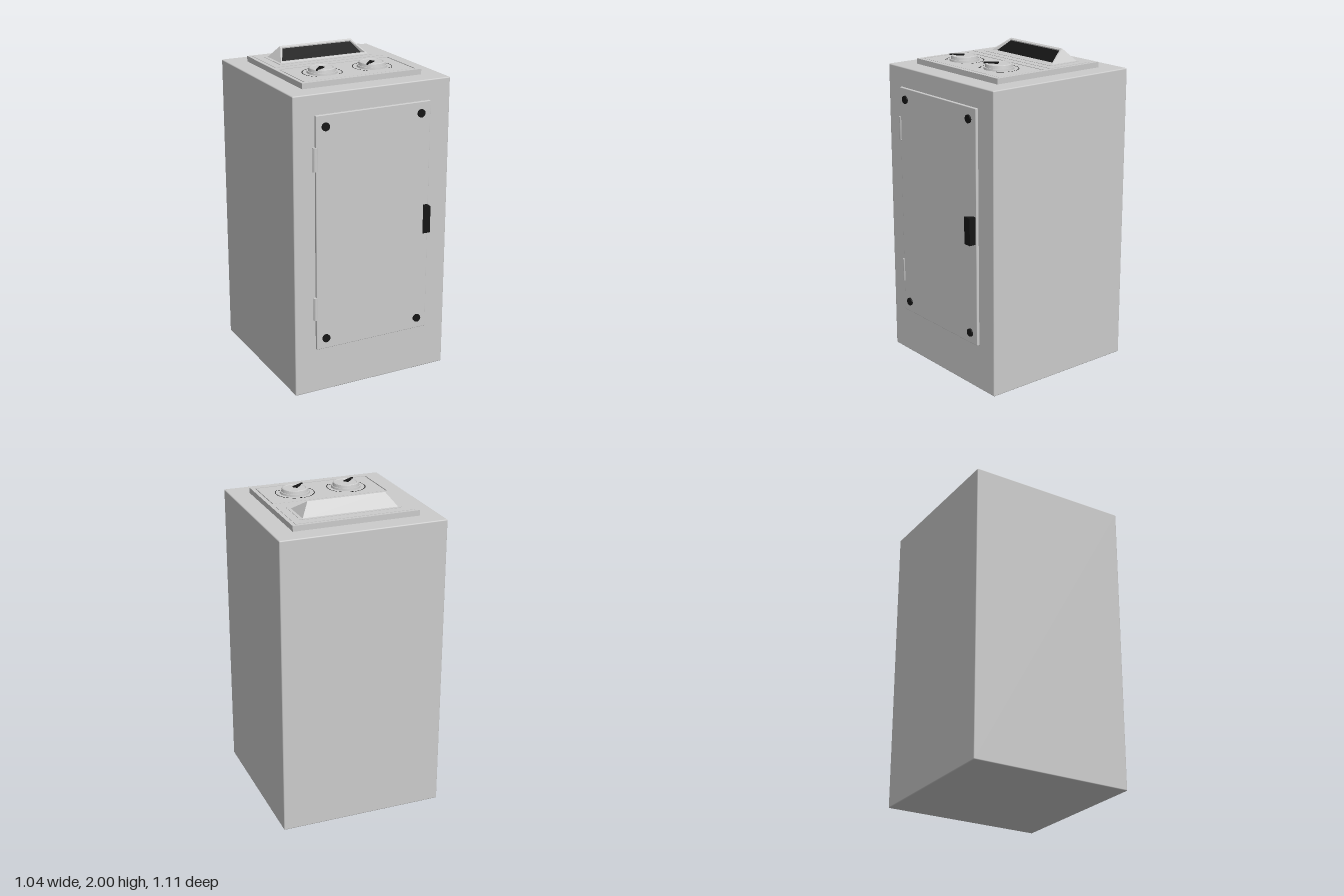
import * as THREE from 'three';
import { RoundedBoxGeometry } from 'three/addons/geometries/RoundedBoxGeometry.js';

const grey = new THREE.MeshStandardMaterial({ color: 0xcccccc });
const black = new THREE.MeshStandardMaterial({ color: 0x151515 });

export function createModel() {
  const root = new THREE.Group();

  const add = (name, geo, mat = grey, x = 0, y = 0, z = 0, parent = root) => {
    const mesh = new THREE.Mesh(geo, mat);
    mesh.name = name;
    mesh.position.set(x, y, z);
    parent.add(mesh);
    return mesh;
  };
  // Box given by its limits, with softly rounded edges
  const block = (name, [x0, x1], [y0, y1], [z0, z1], r, mat = grey) =>
    add(name, new RoundedBoxGeometry(x1 - x0, y1 - y0, z1 - z0, 2, r), mat,
      (x0 + x1) / 2, (y0 + y1) / 2, (z0 + z1) / 2);
  // Plan outlines are given as [x, z] and extruded upward
  const outline = (pts, Type = THREE.Shape) =>
    new Type(pts.map(([x, z]) => new THREE.Vector2(x, -z)));
  const rect = (x0, x1, z0, z1) => [[x0, z1], [x1, z1], [x1, z0], [x0, z0]];
  const slab = (pts, depth, holes = []) => {
    const shape = outline(pts);
    shape.holes = holes.map((h) => outline(h, THREE.Path));
    return new THREE.ExtrudeGeometry(shape, { depth, bevelEnabled: false }).rotateX(-Math.PI / 2);
  };
  // Flat-shaded faces from four-cornered (or three-cornered) loops
  const faces = (polys) => {
    const v = [];
    for (const [a, b, c, d] of polys) {
      v.push(...a, ...b, ...c);
      if (d) v.push(...a, ...c, ...d);
    }
    const geo = new THREE.BufferGeometry();
    geo.setAttribute('position', new THREE.Float32BufferAttribute(v, 3));
    geo.computeVertexNormals();
    return geo;
  };

  // Cabinet and door
  block('cabinet', [-0.52, 0.52], [0, 1.886], [-0.55, 0.495], 0.007);
  block('door', [-0.383, 0.378], [0.29, 1.762], [0.48, 0.512], 0.004);
  for (const y of [0.56, 1.5]) {
    add('hinge', new THREE.CylinderGeometry(0.015, 0.015, 0.145, 20), grey, -0.385, y, 0.502);
  }
  for (const x of [-0.322, 0.313]) {
    for (const y of [0.359, 1.692]) {
      add('doorScrew', new THREE.CylinderGeometry(0.025, 0.025, 0.012, 24).rotateX(Math.PI / 2),
        black, x, y, 0.516);
    }
  }
  // Handle with an undercut finger side
  add('doorHandle', slab([[0.37, 0.505], [0.37, 0.555], [0.317, 0.555], [0.344, 0.518], [0.344, 0.505]], 0.17),
    black, 0, 0.94, 0);

  // Control plate on top with a framed knob panel
  const top = 1.92;
  add('topPlate', slab(rect(-0.398, 0.395, -0.426, 0.366), 0.036,
    [rect(-0.373, 0.37, -0.006, 0.336)]), grey, 0, 1.884, 0);
  add('panelGroove', slab(rect(-0.373, 0.37, -0.006, 0.336), 0.004), black, 0, 1.886, 0);
  add('knobPanel', slab(rect(-0.367, 0.364, 0, 0.33), 0.032), grey, 0, 1.887, 0);
  add('displayPanel', slab(rect(-0.375, 0.371, -0.405, -0.055), 0.003), grey, 0, top - 0.001, 0);
  add('hoodFlange', slab([[-0.32, -0.105], [0.32, -0.105], [0.32, -0.335], [0.305, -0.352],
    [-0.305, -0.352], [-0.32, -0.335]], 0.003), grey, 0, top + 0.001, 0);

  // Sloped display hood: outer edge, rim and recessed screen as trapezoid loops
  const trapezoid = (xb, yb, zb, xt, yt, zt) =>
    [[-xb, yb, zb], [xb, yb, zb], [xt, yt, zt], [-xt, yt, zt]];
  const outer = trapezoid(0.303, top, -0.125, 0.245, 2, -0.262);
  const rim = trapezoid(0.288, 1.93, -0.142, 0.237, 1.992, -0.249);
  const screen = trapezoid(0.274, 1.926, -0.172, 0.235, 1.985, -0.25);
  const [bl, br, tr, tl] = outer;
  const kl = [-0.303, top, -0.335], kr = [0.303, top, -0.335];
  const hood = [[kr, kl, tl, tr], [br, kr, tr], [kl, bl, tl]];
  for (const [a, b] of [[outer, rim], [rim, screen]]) {
    for (let i = 0; i < 4; i++) {
      const j = (i + 1) % 4;
      hood.push([a[i], a[j], b[j], b[i]]);
    }
  }
  add('displayHood', faces(hood));
  add('displayScreen', faces([screen]), black);

  // Two knobs with scale arc, tick marks and pointer
  for (const [side, x] of [['right', -0.171], ['left', 0.166]]) {
    const dial = new THREE.Group();
    dial.name = side + 'Dial';
    dial.position.set(x, 1.919, 0.17);
    root.add(dial);
    add('scaleArc', new THREE.RingGeometry(0.117, 0.122, 64, 1, -Math.PI / 4, Math.PI * 1.5)
      .rotateX(-Math.PI / 2), black, 0, 0.001, 0, dial);
    for (const a of [-45, 90, 225]) {
      const tick = add('scaleTick', slab([[0.102, 0], [0.112, 0.006], [0.112, -0.006]], 0.001),
        black, 0, 0, 0, dial);
      tick.rotation.y = THREE.MathUtils.degToRad(a);
    }
    add('knobSkirt', new THREE.CylinderGeometry(0.091, 0.093, 0.012, 24), grey, 0, 0.006, 0, dial);
    // Knob cap with a shallow dished top
    const profile = [[0.084, 0.011], [0.08, 0.03], [0.076, 0.033], [0.068, 0.033], [0.064, 0.03], [0, 0.03]];
    const cap = new THREE.LatheGeometry(profile.map(([r, y]) => new THREE.Vector2(r, y)), 40)
      .toNonIndexed();
    cap.computeVertexNormals();
    add('knobCap', cap, grey, 0, 0, 0, dial);
    const pointer = add('knobPointer', slab([[0.002, 0.016], [0.092, 0.004], [0.092, -0.004], [0.002, -0.016]], 0.008),
      black, 0, 0.029, 0, dial);
    pointer.rotation.y = THREE.MathUtils.degToRad(222);
  }

  return root;
}
